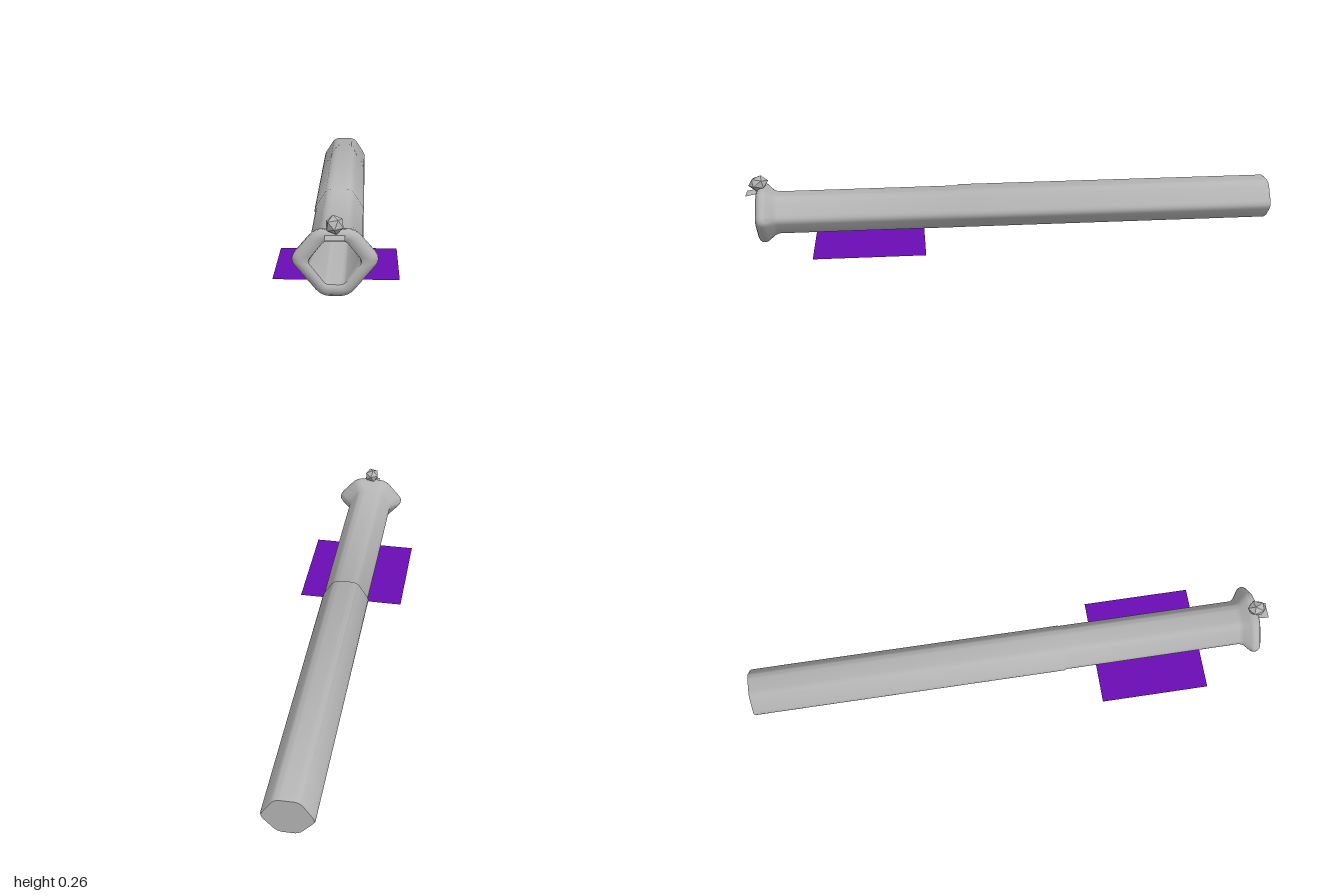
import * as THREE from 'three';
import { toCreasedNormals } from 'three/addons/utils/BufferGeometryUtils.js';

const STEPS = 4; // segments per rounded corner

// Rounded six-sided section, counter-clockwise seen from the front.
// s = [half width, mid y, top y, top half width, bottom y, bottom half width, corner length, x offset]
function hexRing(s, z) {
  const [w, mid, top, tw, bot, bw, r, ox = 0] = s;
  const c = [[w, mid], [tw, top], [-tw, top], [-w, mid], [-bw, bot], [bw, bot]]
    .map(([x, y]) => new THREE.Vector3(x + ox, y, z));
  const ring = [];
  c.forEach((p, i) => {
    const toward = (q) => p.clone().add(q.clone().sub(p).setLength(Math.min(r, p.distanceTo(q) * 0.45)));
    const curve = new THREE.QuadraticBezierCurve3(toward(c[(i + 5) % 6]), p, toward(c[(i + 1) % 6]));
    ring.push(...curve.getPoints(STEPS));
  });
  return ring;
}

// Skin a series of rings; the first and last are closed to their centres.
function loft(sections) {
  const rings = sections.map(([z, s]) => hexRing(s, z));
  const centre = (ring) => {
    const m = new THREE.Vector3();
    ring.forEach((p) => m.addScaledVector(p, 1 / ring.length));
    return m;
  };
  const pos = [];
  const tri = (...pts) => pts.forEach((p) => pos.push(p.x, p.y, p.z));
  const n = rings[0].length;
  const last = rings[rings.length - 1];
  const start = centre(rings[0]);
  const end = centre(last);
  for (let i = 0; i < n; i++) {
    const j = (i + 1) % n;
    tri(start, rings[0][j], rings[0][i]);
    for (let k = 0; k < rings.length - 1; k++) {
      const a = rings[k], b = rings[k + 1];
      tri(a[i], a[j], b[j]);
      tri(a[i], b[j], b[i]);
    }
    tri(end, last[i], last[j]);
  }
  const g = new THREE.BufferGeometry();
  g.setAttribute('position', new THREE.Float32BufferAttribute(pos, 3));
  return toCreasedNormals(g, 0.75);
}

export function createModel() {
  const group = new THREE.Group();
  const metal = new THREE.MeshStandardMaterial({ color: 0xb4b4b4 });
  const metalSheet = new THREE.MeshStandardMaterial({ color: 0xb4b4b4, side: THREE.DoubleSide });
  const purple = new THREE.MeshStandardMaterial({ color: 0x6a0db4, side: THREE.DoubleSide });
  metal.name = 'grey metal';
  metalSheet.name = 'grey metal sheet';
  purple.name = 'purple';

  const add = (name, geometry, material) => {
    const mesh = new THREE.Mesh(geometry, material);
    mesh.name = name;
    group.add(mesh);
    return mesh;
  };

  // Barrel, flared muzzle and tapering bore in one continuous skin
  add('barrel', loft([
    [-1.0, [0.094, 0.106, 0.185, 0.042, 0.04, 0.036, 0.02, -0.003]],
    [-0.992, [0.098, 0.106, 0.19, 0.045, 0.035, 0.038, 0.022, -0.003]],
    [0.2, [0.098, 0.106, 0.19, 0.045, 0.035, 0.038, 0.022, -0.003]],
    [0.205, [0.095, 0.106, 0.186, 0.044, 0.035, 0.038, 0.022, -0.002]],
    [0.885, [0.095, 0.108, 0.185, 0.044, 0.035, 0.038, 0.022, -0.002]],
    [0.9, [0.104, 0.112, 0.192, 0.047, 0.027, 0.038, 0.024]],
    [0.922, [0.138, 0.12, 0.21, 0.06, 0.008, 0.04, 0.026]],
    [0.932, [0.144, 0.121, 0.215, 0.063, 0.002, 0.042, 0.028]],
    [0.945, [0.143, 0.121, 0.215, 0.063, 0.002, 0.042, 0.028]],
    [0.956, [0.134, 0.12, 0.208, 0.058, 0.009, 0.04, 0.026]],
    [0.961, [0.12, 0.118, 0.198, 0.05, 0.021, 0.036, 0.02]],
    [0.961, [0.1, 0.116, 0.187, 0.04, 0.033, 0.03, 0.016]],
    [0.955, [0.086, 0.115, 0.179, 0.034, 0.041, 0.028, 0.012]],
    [0.94, [0.082, 0.115, 0.177, 0.033, 0.043, 0.028, 0.01]],
    [0.86, [0.078, 0.113, 0.174, 0.033, 0.047, 0.028, 0.01, 0.002]],
    [-0.95, [0.07, 0.108, 0.166, 0.033, 0.058, 0.03, 0.008, 0.008]],
  ]), metal);

  // Thin tilted sight plate projecting over the muzzle
  const plate = add('sightPlate', new THREE.PlaneGeometry(0.062, 0.065), metalSheet);
  plate.rotation.x = -Math.PI / 2 + 0.19;
  plate.position.set(0, 0.197, 0.968);

  // Faceted front sight bead, stretched forward and tipped down
  const bead = new THREE.IcosahedronGeometry(0.031, 0);
  bead.rotateX(Math.atan(2 / (1 + Math.sqrt(5))));
  bead.rotateZ(0.2);
  bead.scale(1, 0.93, 1.25);
  bead.rotateX(0.25);
  bead.translate(-0.001, 0.231, 0.953);
  add('sightBead', bead, metal);

  // Flat square panel below the front half of the barrel
  const panel = add('panel', new THREE.PlaneGeometry(0.416, 0.416), purple);
  panel.rotation.x = -Math.PI / 2;
  panel.position.set(-0.002, 0, 0.543);

  return group;
}
